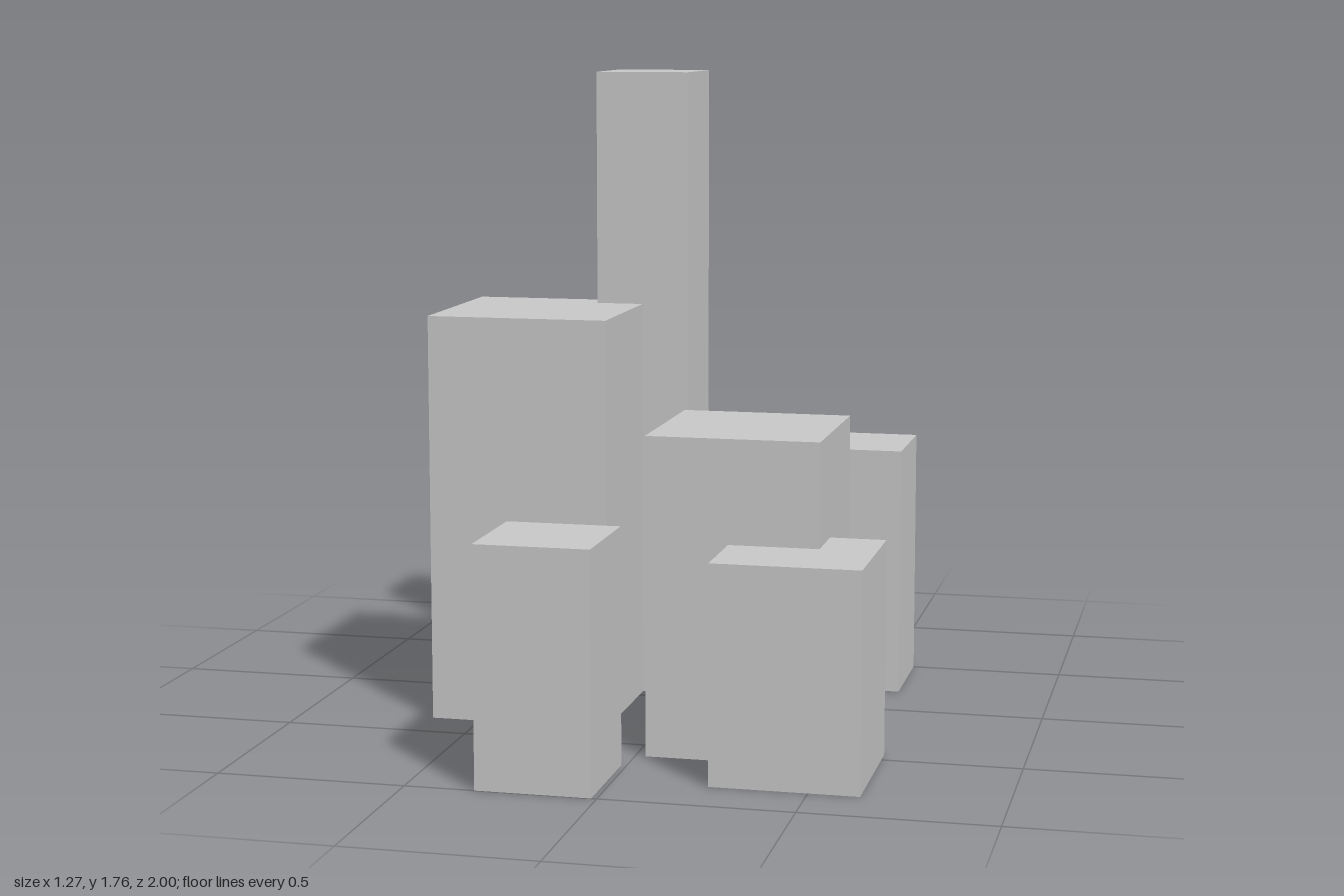
import * as THREE from 'three';

const material = new THREE.MeshStandardMaterial({ color: 0xcccccc, flatShading: true, side: THREE.DoubleSide });

// A block standing on the ground, open underneath
function block(name, x0, x1, z0, z1, height) {
  const geometry = new THREE.BoxGeometry(x1 - x0, height, z1 - z0);
  const index = Array.from(geometry.index.array);
  index.splice(18, 6); // drop the bottom face
  geometry.setIndex(index);
  geometry.clearGroups();
  const mesh = new THREE.Mesh(geometry, material);
  mesh.name = name;
  mesh.position.set((x0 + x1) / 2, height / 2, (z0 + z1) / 2);
  return mesh;
}

export function createModel() {
  const model = new THREE.Group();
  model.name = 'cityBlocks';
  model.add(
    // Back row
    block('lowBackBuilding', -0.52, -0.062, -1, -0.543, 0.455),
    block('backLeftBuilding', 0.27, 0.572, -0.503, -0.202, 0.695),
    // Middle: slim tower cutting into the corner of the wide block
    block('tallTower', -0.27, -0.008, -0.309, -0.048, 1.757),
    block('wideBuilding', -0.634, -0.14, -0.13, 0.364, 1.112),
    // Front: two overlapping blocks and a small one
    block('centralBuilding', 0.027, 0.484, 0.149, 0.605, 0.847),
    block('frontLeftBuilding', 0.246, 0.632, 0.45, 0.838, 0.572),
    block('frontBuilding', -0.316, -0.014, 0.698, 1, 0.627),
  );
  return model;
}
